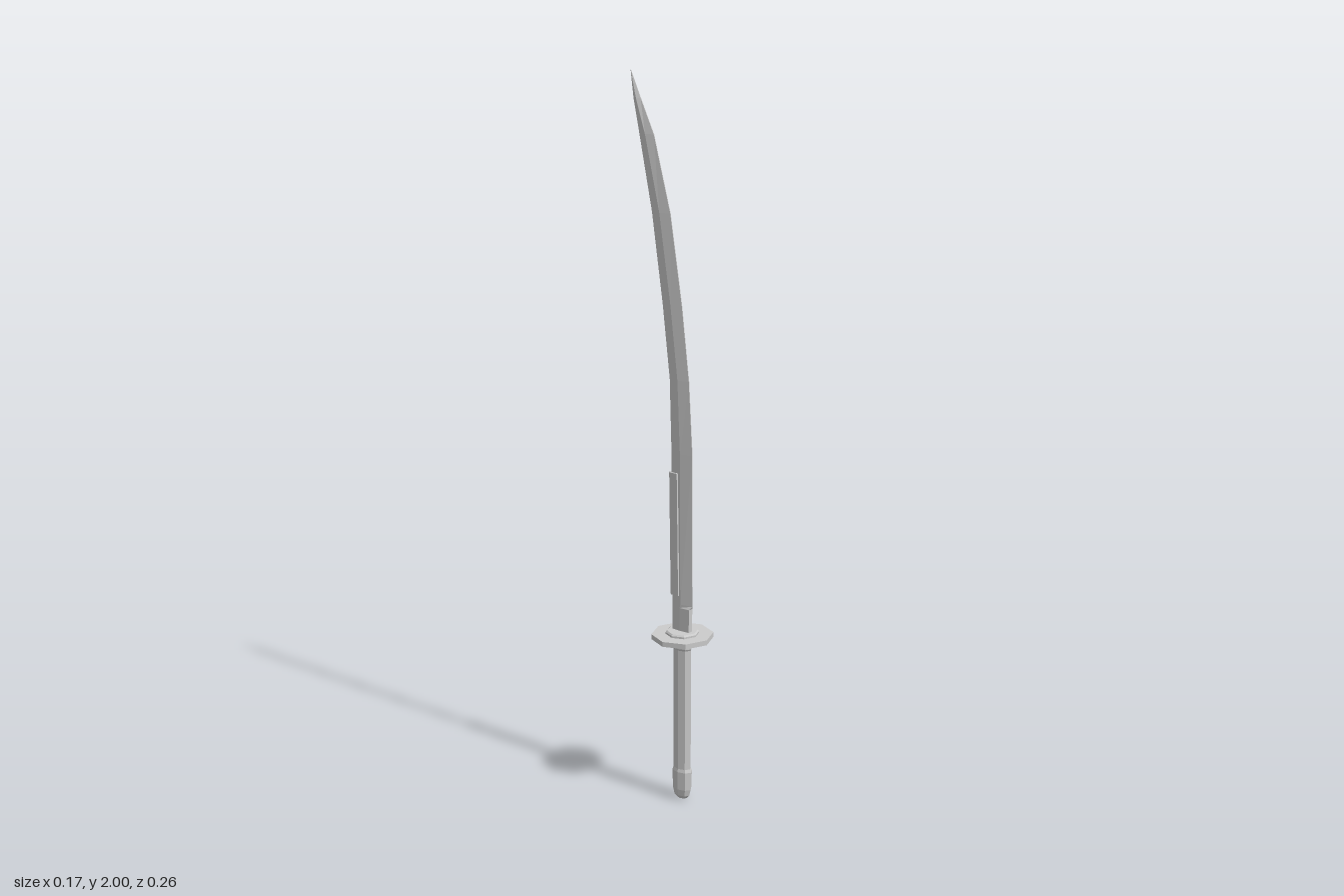
import * as THREE from 'three';

const mat = new THREE.MeshStandardMaterial({ color: 0xcccccc, flatShading: true, side: THREE.DoubleSide });
const AXIS_Z = 0.045; // the hilt sits forward of the origin

function add(group, name, geometry) {
  const mesh = new THREE.Mesh(geometry, mat);
  mesh.name = name;
  group.add(mesh);
  return mesh;
}

// Eight-sided turned part about the hilt axis; profile is [radius, y] from the bottom up
function turned(group, name, profile, flatten = 1) {
  const geo = new THREE.LatheGeometry(profile.map(([r, y]) => new THREE.Vector2(r, y)), 8);
  geo.scale(flatten, 1, 1);
  const mesh = add(group, name, geo);
  mesh.position.z = AXIS_Z;
  return mesh;
}

// Skin stacked loops of [x, y, z] points, closing both ends
function loft(loops) {
  const n = loops[0].length, index = [];
  for (let i = 0; i < loops.length - 1; i++) {
    for (let j = 0; j < n; j++) {
      const a = i * n + j, b = i * n + (j + 1) % n;
      index.push(a, b, b + n, a, b + n, a + n);
    }
  }
  const top = (loops.length - 1) * n;
  for (let j = 1; j < n - 1; j++) index.push(0, j + 1, j, top, top + j, top + j + 1);
  const geo = new THREE.BufferGeometry();
  geo.setAttribute('position', new THREE.Float32BufferAttribute(loops.flat(2), 3));
  geo.setIndex(index);
  const flat = geo.toNonIndexed();
  flat.computeVertexNormals();
  return flat;
}

export function createModel() {
  const group = new THREE.Group();
  group.name = 'curvedSword';

  // Blade: y, cutting edge z, spine z, half thickness, half edge thickness
  const rows = [
    [0.49, 0.072, 0.017, 0.009, 0.007],
    [0.565, 0.074, 0.016, 0.009, 0.007],
    [0.575, 0.080, 0.016, 0.009, 0.001],
    [1.0, 0.078, 0.012, 0.008, 0.001],
    [1.2, 0.066, 0.006, 0.008, 0.001],
    [1.4, 0.042, -0.018, 0.008, 0.001],
    [1.64, 0.003, -0.054, 0.008, 0.001],
    [1.84, -0.052, -0.096, 0.008, 0.001],
    [1.93, -0.096, -0.116, 0.007, 0.001],
    [2.0, -0.129, -0.13, 0.0005, 0.0002],
  ];
  add(group, 'blade', loft(rows.map(([y, edge, spine, half, tip]) => {
    const mid = spine + (edge - spine) * 0.45;
    return [
      [-tip, y, edge], [tip, y, edge], [half, y, mid],
      [half * 0.85, y, spine], [-half * 0.85, y, spine], [-half, y, mid],
    ];
  })));

  // Channel clipped over the lower spine
  const channel = new THREE.Shape([
    [-0.014, -0.015], [-0.014, 0.009], [-0.009, 0.015], [0.009, 0.015], [0.014, 0.009],
    [0.014, -0.015], [0.009, -0.015], [0.009, 0.009], [-0.009, 0.009], [-0.009, -0.015],
  ].map(([x, y]) => new THREE.Vector2(x, y)));
  const guardGeo = new THREE.ExtrudeGeometry(channel, { depth: 0.345, bevelEnabled: false });
  guardGeo.rotateX(-Math.PI / 2);
  const spineGuard = add(group, 'spineGuard', guardGeo);
  spineGuard.position.set(0, 0.6, 0.026);
  spineGuard.rotation.x = -0.015;

  // Octagonal hand guard and the washers either side of it
  turned(group, 'handGuard', [[0, 0.476], [0.085, 0.476], [0.085, 0.49], [0, 0.49]]);
  turned(group, 'upperWasher', [[0, 0.488], [0.046, 0.488], [0.046, 0.495], [0.042, 0.499], [0, 0.499]]);
  turned(group, 'lowerWasher', [[0, 0.467], [0.042, 0.467], [0.046, 0.471], [0.046, 0.478], [0, 0.478]]);

  // Oval grip with collar and rounded end cap
  turned(group, 'grip', [[0, 0.06], [0.028, 0.06], [0.028, 0.47], [0, 0.47]], 0.66);
  turned(group, 'gripCollar', [[0.028, 0.445], [0.031, 0.45], [0.031, 0.469], [0, 0.469]], 0.68);
  turned(group, 'pommel', [[0, 0], [0.015, 0.003], [0.025, 0.013], [0.03, 0.032], [0.032, 0.085], [0.028, 0.094]], 0.66);

  return group;
}
